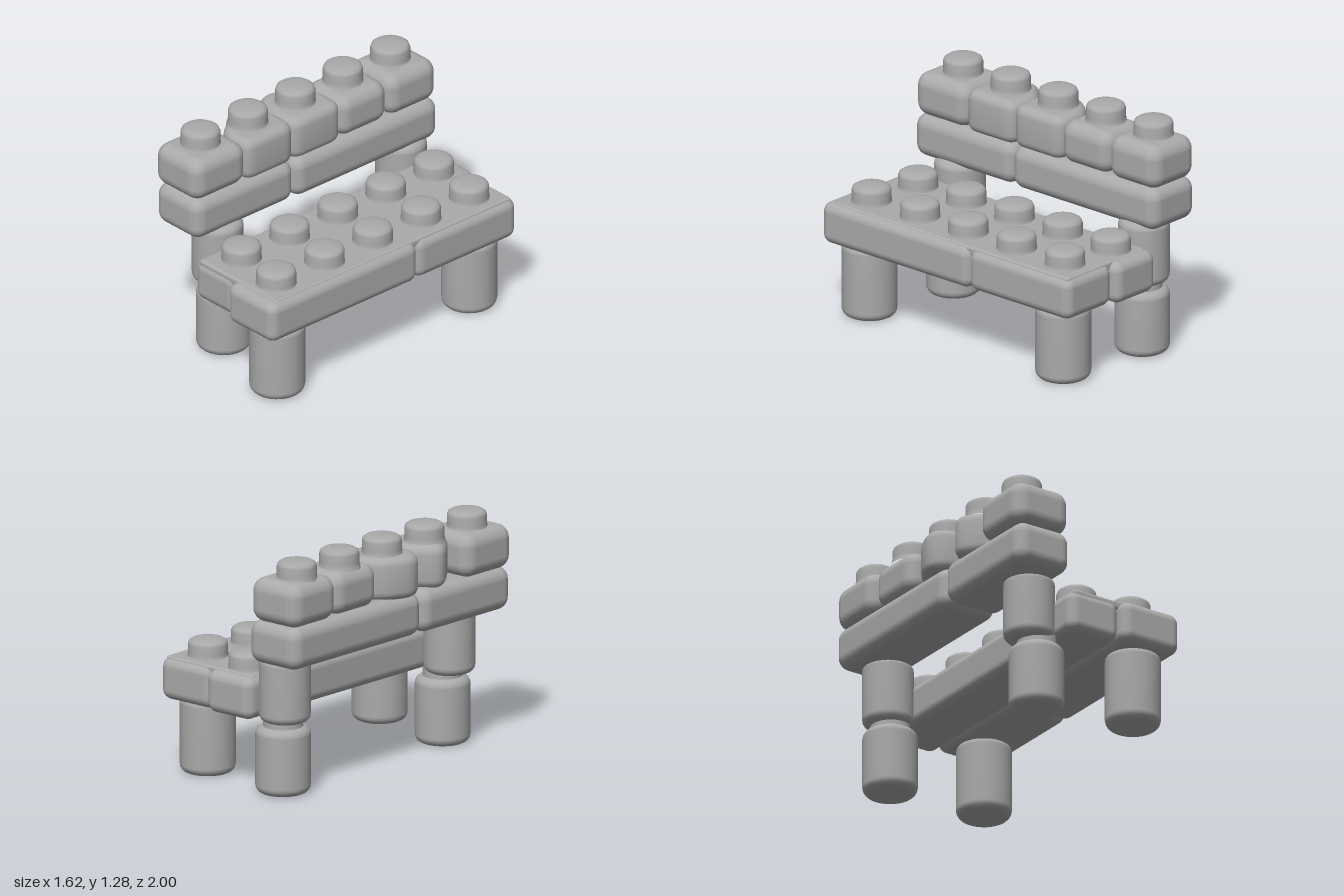
import * as THREE from 'three';
import { RoundedBoxGeometry } from 'three/addons/geometries/RoundedBoxGeometry.js';
import { toCreasedNormals } from 'three/addons/utils/BufferGeometryUtils.js';

export function createModel() {
  const root = new THREE.Group();
  root.name = 'brickBench';
  // the bench is built along its own z axis, then turned
  const bench = new THREE.Group();
  bench.name = 'bench';
  bench.rotation.y = -0.477;
  root.add(bench);

  const clay = new THREE.MeshStandardMaterial({ color: 0xaaaaaa });
  clay.name = 'grey clay';

  const add = (name, geometry, x = 0, y = 0, z = 0) => {
    const mesh = new THREE.Mesh(geometry, clay);
    mesh.name = name;
    mesh.position.set(x, y, z);
    bench.add(mesh);
    return mesh;
  };

  // rounded brick given by its limits
  const brick = (name, x0, x1, y0, y1, z0, z1, r = 0.055) =>
    add(name, new RoundedBoxGeometry(x1 - x0, y1 - y0, z1 - z0, 6, r),
      (x0 + x1) / 2, (y0 + y1) / 2, (z0 + z1) / 2);

  // round peg with softened rims
  const pegGeometry = (r, h, soft) => {
    const pts = [new THREE.Vector2(0, 0)];
    for (let i = 0; i <= 5; i++) {
      const a = (i / 5) * Math.PI / 2;
      pts.push(new THREE.Vector2(r - soft + soft * Math.sin(a), soft - soft * Math.cos(a)));
    }
    for (let i = 0; i <= 5; i++) {
      const a = (i / 5) * Math.PI / 2;
      pts.push(new THREE.Vector2(r - soft + soft * Math.cos(a), h - soft + soft * Math.sin(a)));
    }
    pts.push(new THREE.Vector2(0, h));
    return new THREE.LatheGeometry(pts, 32);
  };

  // stud with a small fillet at its foot
  const studGeometry = new THREE.LatheGeometry(
    [[0.115, -0.01], [0.109, 0.006], [0.106, 0.025], [0.106, 0.07], [0.1, 0.086],
      [0.085, 0.096], [0.05, 0.101], [0, 0.102]].map(([x, y]) => new THREE.Vector2(x, y)), 32);
  const stud = (name, x, y, z) => add(name, studGeometry, x, y, z);

  // brick with a free outline: every corner rounded, rims softened by the bevel
  const outlineBrick = (name, outline, y0, y1) => {
    const b = 0.05;
    const pts = outline.map(([x, z]) => new THREE.Vector2(x, -z));
    const shape = new THREE.Shape();
    pts.forEach((p, i) => {
      const toward = (q) => p.clone().lerp(q, Math.min(0.45, 0.075 / p.distanceTo(q)));
      const start = toward(pts[(i + pts.length - 1) % pts.length]);
      const end = toward(pts[(i + 1) % pts.length]);
      if (i === 0) shape.moveTo(start.x, start.y);
      else shape.lineTo(start.x, start.y);
      shape.quadraticCurveTo(p.x, p.y, end.x, end.y);
    });
    shape.closePath();
    const geometry = new THREE.ExtrudeGeometry(shape, {
      depth: y1 - y0 - 2 * b, bevelEnabled: true, bevelSize: b, bevelOffset: -b,
      bevelThickness: b, bevelSegments: 5, curveSegments: 6,
    });
    geometry.rotateX(-Math.PI / 2);
    return add(name, toCreasedNormals(geometry, 0.7), 0, y0 + b, 0);
  };

  // seat: two rows of bricks under a thin skin, with two rows of studs
  brick('seatFrontBrick', 0.13, 0.495, 0.4, 0.632, -0.155, 0.895);
  brick('seatFrontBrick', 0.13, 0.49, 0.4, 0.632, -0.86, -0.145);
  brick('seatRearBrick', -0.175, 0.14, 0.4, 0.632, -0.895, 0.845);
  brick('seatSkin', -0.145, 0.465, 0.59, 0.637, -0.835, 0.835, 0.015);
  for (let i = -2; i <= 2; i++) {
    stud('seatFrontStud', 0.308, 0.63, 0.01 + i * 0.343);
    stud('seatRearStud', -0.01, 0.63, -0.03 + i * 0.342);
  }

  // legs
  const frontLeg = pegGeometry(0.148, 0.42, 0.045);
  add('frontLeg', frontLeg, 0.32, 0, 0.7);
  add('frontLeg', frontLeg, 0.315, 0, -0.67);
  const rearLeg = pegGeometry(0.147, 0.365, 0.045);
  const rearPost = pegGeometry(0.137, 0.36, 0.045);
  for (const [x, z] of [[-0.22, 0.59], [-0.255, -0.715]]) {
    add('rearLeg', rearLeg, x, 0, z);
    stud('rearLegStud', x, 0.345, z);
    add('backPost', rearPost, -0.268, 0.39, z);
  }

  // lower course of the backrest
  brick('backrestLowerBrick', -0.495, -0.15, 0.722, 0.96, -0.89, 0.135, 0.07);
  brick('backrestLowerBrick', -0.5, -0.16, 0.722, 0.96, 0.125, 0.835, 0.07);

  // upper course: single bricks, two of them with angled rear faces
  const y0 = 0.95, y1 = 1.192;
  brick('backrestUpperBrick', -0.495, -0.16, y0, y1, -0.89, -0.54, 0.075);
  brick('backrestUpperBrick', -0.48, -0.165, y0, y1 - 0.006, -0.545, -0.2, 0.075);
  outlineBrick('backrestUpperBrick',
    [[-0.165, -0.21], [-0.36, -0.215], [-0.465, -0.135], [-0.53, 0], [-0.505, 0.09],
      [-0.37, 0.145], [-0.165, 0.132]], y0, y1 - 0.006);
  outlineBrick('backrestUpperBrick',
    [[-0.165, 0.128], [-0.365, 0.118], [-0.53, 0.26], [-0.365, 0.475], [-0.165, 0.47]], y0, y1 - 0.006);
  brick('backrestUpperBrick', -0.51, -0.165, y0, y1, 0.46, 0.835, 0.075);
  for (let i = -2; i <= 2; i++) stud('backrestStud', -0.348, 1.183, -0.036 + i * 0.3375);

  return root;
}
